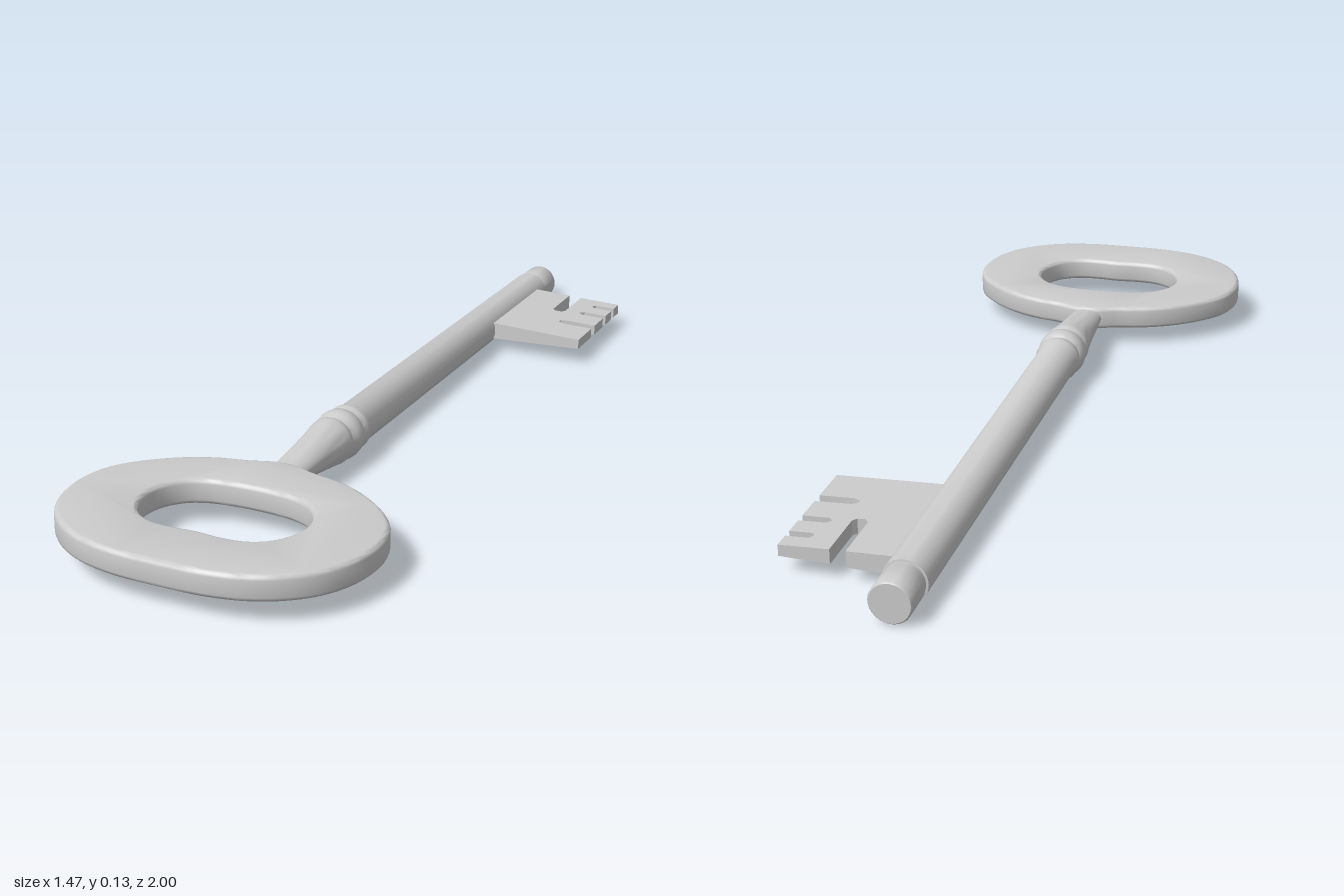
import * as THREE from 'three';
import { toCreasedNormals } from 'three/addons/utils/BufferGeometryUtils.js';

const material = new THREE.MeshStandardMaterial({ color: 0xcccccc });

function addPart(group, name, geometry, crease = 0.7) {
  const mesh = new THREE.Mesh(toCreasedNormals(geometry, crease), material);
  mesh.name = name;
  group.add(mesh);
}

// Closed smooth counter-clockwise outline from one half, mirrored across the key's axis
function mirroredOutline(half, samples) {
  const left = half.map(([x, y]) => new THREE.Vector3(-x, y, 0));
  const right = half.slice(1, -1).reverse().map(([x, y]) => new THREE.Vector3(x, y, 0));
  const curve = new THREE.CatmullRomCurve3([...left, ...right], true);
  return curve.getSpacedPoints(samples).slice(0, -1).map(p => new THREE.Vector2(p.x, p.y));
}

// Flat oval handle with a bean-shaped opening and softened edges
function bowGeometry() {
  const shape = new THREE.Shape(mirroredOutline([
    [0, -0.494], [0.045, -0.501], [0.075, -0.514], [0.16, -0.535],
    [0.235, -0.572], [0.305, -0.63], [0.35, -0.69], [0.37, -0.775], [0.355, -0.875],
    [0.308, -0.955], [0.222, -1.018], [0.12, -1.047], [0, -1.052],
  ], 80));
  shape.holes.push(new THREE.Path(mirroredOutline([
    [0, -0.649], [0.06, -0.652], [0.107, -0.66], [0.15, -0.68], [0.183, -0.72],
    [0.195, -0.77], [0.187, -0.815], [0.16, -0.86], [0.115, -0.887], [0.06, -0.893], [0, -0.889],
  ], 60)));
  const depth = 0.038, bevel = 0.011;
  const geometry = new THREE.ExtrudeGeometry(shape, {
    depth, bevelThickness: bevel, bevelSize: bevel, bevelOffset: -bevel, bevelSegments: 3,
  });
  return geometry.translate(0, 0, -depth / 2);
}

// Turned shaft: neck, collar rings, long shank and stepped tip
function shaftGeometry() {
  const profile = [
    [0, -0.53], [0.024, -0.53], [0.025, -0.5], [0.03, -0.46], [0.042, -0.385], [0.053, -0.315],
    [0.058, -0.285], [0.058, -0.272], [0.053, -0.265], [0.053, -0.26],
    [0.06, -0.25], [0.062, -0.232], [0.06, -0.214], [0.053, -0.206], [0.053, -0.2],
    [0.057, -0.192], [0.057, -0.178], [0.052, -0.168],
    [0.05, 1.03], [0.045, 1.031], [0.045, 1.038], [0.047, 1.042], [0.047, 1.118], [0.044, 1.122], [0, 1.122],
  ].map(([r, y]) => new THREE.Vector2(r, y));
  const geometry = new THREE.LatheGeometry(profile, 32);

  // The neck flattens into a wide oval where it meets the bow
  const p = geometry.attributes.position;
  for (let i = 0; i < p.count; i++) {
    const t = THREE.MathUtils.clamp((-0.29 - p.getY(i)) / 0.2, 0, 1);
    p.setX(i, p.getX(i) * (1 + 0.65 * t * t));
  }
  geometry.computeVertexNormals();
  return geometry;
}

// Notched bit plate, thinning towards its outer edge
function bitGeometry() {
  const outline = [
    [0.02, 0.634], [0.295, 0.63], [0.295, 0.735], [0.215, 0.735], [0.198, 0.743],
    [0.198, 0.756], [0.212, 0.763], [0.295, 0.763], [0.295, 0.834], [0.232, 0.834],
    [0.222, 0.845], [0.232, 0.857], [0.295, 0.857], [0.295, 0.907], [0.242, 0.907],
    [0.235, 0.918], [0.242, 0.929], [0.295, 0.929], [0.295, 0.97], [0.182, 0.97],
    [0.182, 0.838], [0.174, 0.827], [0.155, 0.827], [0.146, 0.838], [0.146, 0.972],
    [0.02, 0.976],
  ].map(([x, y]) => new THREE.Vector2(x, y));
  const geometry = new THREE.ExtrudeGeometry(new THREE.Shape(outline), { depth: 1, bevelEnabled: false });
  const p = geometry.attributes.position;
  for (let i = 0; i < p.count; i++) {
    p.setZ(i, (p.getZ(i) - 0.5) * (0.048 - 0.075 * p.getX(i)));
  }
  geometry.computeVertexNormals();
  return geometry;
}

export function createModel() {
  const model = new THREE.Group();
  model.name = 'key';

  // The key is built along +y, then laid down diagonally with a slight tilt
  const body = new THREE.Group();
  body.name = 'keyBody';
  addPart(body, 'bow', bowGeometry());
  addPart(body, 'shaft', shaftGeometry());
  addPart(body, 'bit', bitGeometry(), 0.5);
  body.rotation.set(-Math.PI / 2 - 0.016, -0.51, 0, 'YXZ');
  body.position.y = 0.0665;
  model.add(body);
  return model;
}
